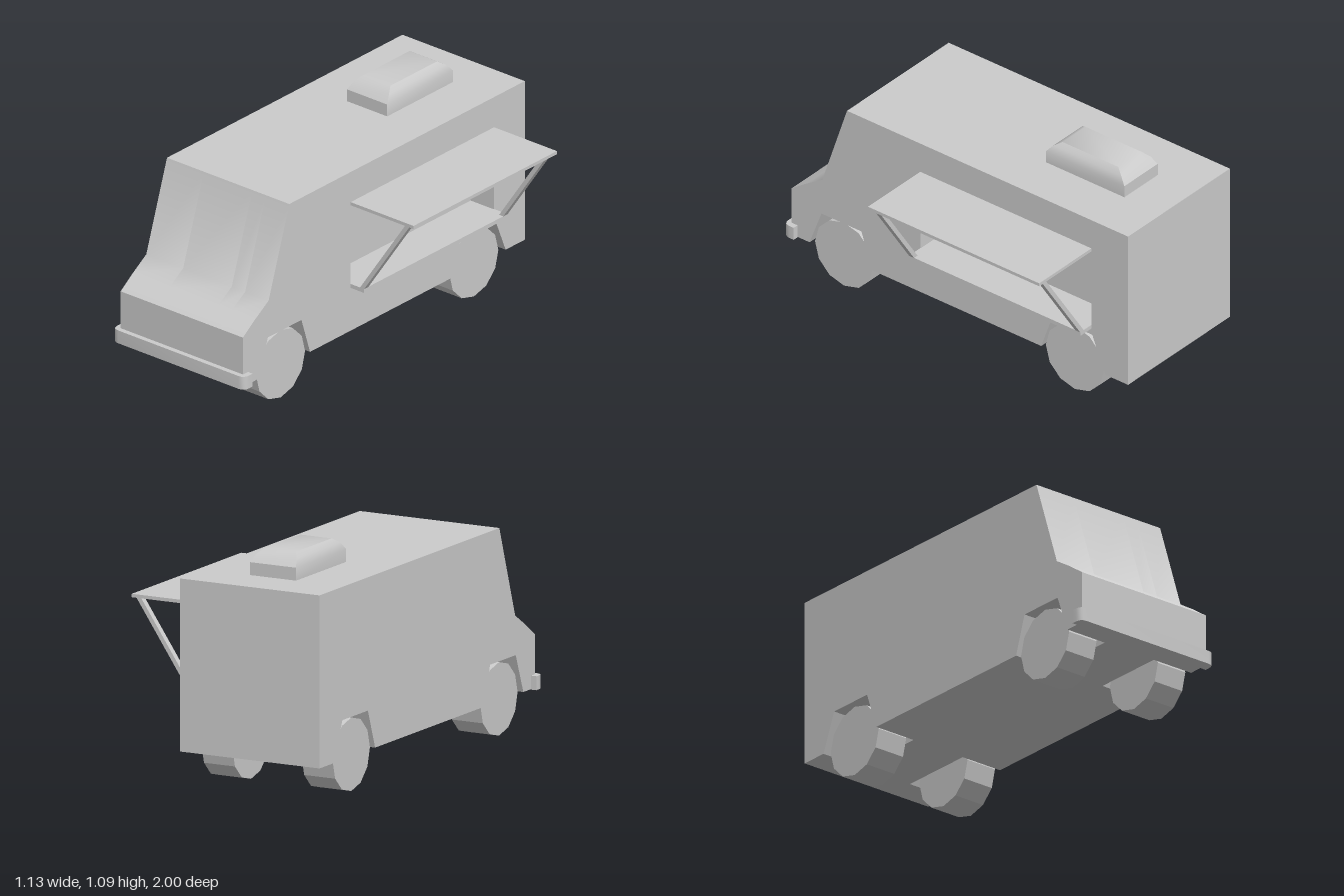
import * as THREE from 'three';
import { toCreasedNormals } from 'three/addons/utils/BufferGeometryUtils.js';

const material = new THREE.MeshStandardMaterial({ color: 0xcccccc });
const CENTER_X = -0.175, LEFT = 0.19, RIGHT = -0.54;
const ARCH_DEPTH = 0.22, WINDOW_DEPTH = 0.14;
const WINDOW = { back: -0.785, front: 0.22, bottom: 0.405, top: 0.81 };

function add(group, name, geometry, x = 0, y = 0, z = 0) {
  const mesh = new THREE.Mesh(geometry, material);
  mesh.name = name;
  mesh.position.set(x, y, z);
  group.add(mesh);
  return mesh;
}

// Box given by its limits on each axis
function addBox(group, name, [x0, x1], [y0, y1], [z0, z1]) {
  return add(group, name, new THREE.BoxGeometry(x1 - x0, y1 - y0, z1 - z0),
    (x0 + x1) / 2, (y0 + y1) / 2, (z0 + z1) / 2);
}

const toVectors = (points) => points.map(([a, b]) => new THREE.Vector2(a, b));

// Side outline of the body as (z, y), optionally with wheel arches and serving window
function bodyShape(arches, windowed) {
  const points = [[-1, 0.17]];
  if (arches) {
    points.push([-0.866, 0.17], [-0.79, 0.355], [-0.556, 0.355], [-0.49, 0.17]);
    points.push([0.505, 0.17], [0.565, 0.355], [0.8, 0.355], [0.87, 0.17]);
  }
  points.push([0.975, 0.17], [0.975, 0.42], [0.89, 0.48], [0.795, 0.54], [0.65, 0.975], [-1, 0.975]);
  const shape = new THREE.Shape(toVectors(points));
  if (windowed) {
    const { back, front, bottom, top } = WINDOW;
    shape.holes.push(new THREE.Path(toVectors([[back, bottom], [back, top], [front, top], [front, bottom]])));
  }
  return shape;
}

// Slice of the body between two x positions
function addBodySlice(group, name, x0, x1, arches, windowed) {
  const geometry = new THREE.ExtrudeGeometry(bodyShape(arches, windowed), { depth: x1 - x0, bevelEnabled: false });
  geometry.rotateY(-Math.PI / 2);
  add(group, name, toCreasedNormals(geometry, 0.7), x1);
}

// Roof vent built from stacked rectangles [half width, half length, y]
function ventGeometry() {
  const sections = [[0.12, 0.23, 0.97], [0.12, 0.23, 1.035], [0.105, 0.2, 1.07], [0.082, 0.163, 1.093]];
  const corners = [[-1, 1], [1, 1], [1, -1], [-1, -1]];
  const positions = [], index = [];
  for (const [w, l, y] of sections) for (const [sx, sz] of corners) positions.push(sx * w, y, sz * l);
  for (let s = 0; s < sections.length - 1; s++) {
    for (let i = 0; i < 4; i++) {
      const a = s * 4 + i, b = s * 4 + (i + 1) % 4;
      index.push(a, b, b + 4, a, b + 4, a + 4);
    }
  }
  const t = (sections.length - 1) * 4;
  index.push(t, t + 1, t + 2, t, t + 2, t + 3);
  const geometry = new THREE.BufferGeometry();
  geometry.setAttribute('position', new THREE.Float32BufferAttribute(positions, 3));
  geometry.setIndex(index);
  return toCreasedNormals(geometry, 0.7);
}

// Bumper with rounded front corners
function bumperGeometry() {
  const half = 0.393, r = 0.035;
  const shape = new THREE.Shape();
  shape.moveTo(-half, 0.06);
  shape.lineTo(-half, r);
  shape.quadraticCurveTo(-half, 0, -half + r, 0);
  shape.lineTo(half - r, 0);
  shape.quadraticCurveTo(half, 0, half, r);
  shape.lineTo(half, 0.06);
  const geometry = new THREE.ExtrudeGeometry(shape, { depth: 0.065, bevelEnabled: false, curveSegments: 4 });
  geometry.rotateX(-Math.PI / 2);
  return toCreasedNormals(geometry, 0.7);
}

export function createModel() {
  const model = new THREE.Group();
  model.name = 'foodTruck';

  // Body, in slices so the arches and window are recesses
  const body = new THREE.Group();
  body.name = 'body';
  model.add(body);
  addBodySlice(body, 'bodyRight', RIGHT, RIGHT + ARCH_DEPTH, true, false);
  addBodySlice(body, 'bodyMiddle', RIGHT + ARCH_DEPTH, LEFT - ARCH_DEPTH, false, false);
  addBodySlice(body, 'bodyInnerLeft', LEFT - ARCH_DEPTH, LEFT - WINDOW_DEPTH, true, false);
  addBodySlice(body, 'bodyOuterLeft', LEFT - WINDOW_DEPTH, LEFT, true, true);

  add(model, 'roofVent', ventGeometry(), -0.172, 0, -0.55);
  add(model, 'frontBumper', bumperGeometry(), CENTER_X, 0.168, 1);

  // Twelve-sided wheels
  for (const z of [0.685, -0.67]) {
    for (const side of [-1, 1]) {
      const wheel = new THREE.CylinderGeometry(0.171, 0.171, 0.162, 12);
      wheel.rotateZ(Math.PI / 2);
      const name = (z > 0 ? 'front' : 'rear') + (side > 0 ? 'Left' : 'Right') + 'Wheel';
      add(model, name, toCreasedNormals(wheel, 0.3), CENTER_X + side * 0.262, 0.171, z);
    }
  }

  // Serving hatch: awning, counter and two slanted struts
  const hatch = new THREE.Group();
  hatch.name = 'servingHatch';
  model.add(hatch);
  const span = [WINDOW.back, WINDOW.front];
  addBox(hatch, 'awning', [LEFT, 0.565], [0.806, 0.822], span);
  addBox(hatch, 'counter', [LEFT, 0.27], [0.387, 0.407], span);
  const strutShape = new THREE.Shape(toVectors([[0.245, 0.406], [0.27, 0.406], [0.54, 0.807], [0.515, 0.807]]));
  for (const [name, z] of [['frontStrut', WINDOW.front - 0.03], ['rearStrut', WINDOW.back]]) {
    add(hatch, name, new THREE.ExtrudeGeometry(strutShape, { depth: 0.03, bevelEnabled: false }), 0, 0, z);
  }
  return model;
}
